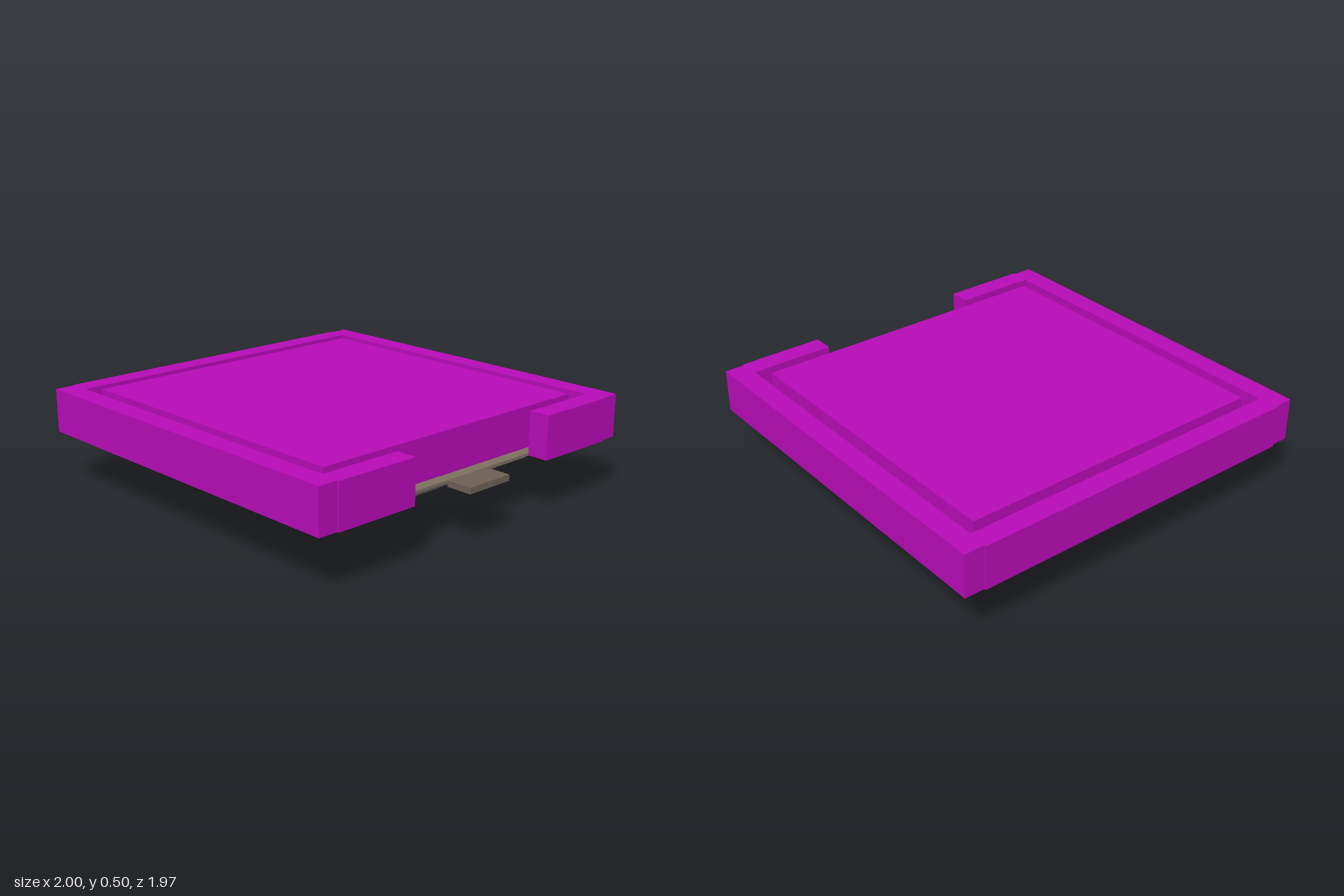
import * as THREE from 'three';

export function createModel() {
  const group = new THREE.Group();
  const CX = -0.0175; // the square body sits slightly off centre to make room for the tab
  const BOTTOM = 0.28, TOP = 0.5;

  const paint = (color) => new THREE.MeshStandardMaterial({ color });
  const magenta = paint(0xb80bb8);
  const stone = paint(0x7d705f);

  // Box given by its limits on each axis
  function box(name, material, [x0, x1], [y0, y1], [z0, z1]) {
    const mesh = new THREE.Mesh(new THREE.BoxGeometry(x1 - x0, y1 - y0, z1 - z0), material);
    mesh.position.set((x0 + x1) / 2, (y0 + y1) / 2, (z0 + z1) / 2);
    mesh.name = name;
    group.add(mesh);
  }
  const square = (half, c = 0) => [c - half, c + half];

  // Stepped underside, widening upwards
  const stepColors = [0x5d5249, 0x544d45, 0x544e48, 0x6f6052, 0x6b6154];
  const stepHeight = BOTTOM / stepColors.length;
  stepColors.forEach((color, i) => {
    const half = 0.373 + i * 0.1;
    box('step' + (i + 1), paint(color), square(half, CX),
      [i * stepHeight, (i + 1) * stepHeight], square(half));
  });

  // Central slab
  box('slab', magenta, square(0.815, CX), [BOTTOM, TOP], square(0.815));

  // Thin floor of the channel around the slab
  const ring = new THREE.Shape();
  const outline = (path, h) => path.moveTo(-h, -h).lineTo(h, -h).lineTo(h, h).lineTo(-h, h).closePath();
  outline(ring, 0.875);
  const hole = new THREE.Path();
  outline(hole, 0.815);
  ring.holes.push(hole);
  const floor = new THREE.Mesh(
    new THREE.ExtrudeGeometry(ring, { depth: 0.012, bevelEnabled: false }), stone);
  floor.rotation.x = -Math.PI / 2;
  floor.position.set(CX, BOTTOM, 0);
  floor.name = 'channelFloor';
  group.add(floor);

  // Outer walls, with an opening on the left side
  const height = [BOTTOM, TOP];
  box('frontWall', magenta, [-0.99, 0.955], height, [0.875, 0.983]);
  box('backWall', magenta, [-0.99, 0.955], height, [-0.983, -0.875]);
  box('rightWall', magenta, [-1, -0.892], height, square(0.883));
  box('leftWallFront', magenta, [0.857, 0.965], height, [0.443, 0.883]);
  box('leftWallBack', magenta, [0.857, 0.965], height, [-0.883, -0.443]);

  // Small tab in front of the opening
  box('entryTab', paint(0x6d6054), [0.865, 1], [0.265, 0.295], square(0.132));

  return group;
}
